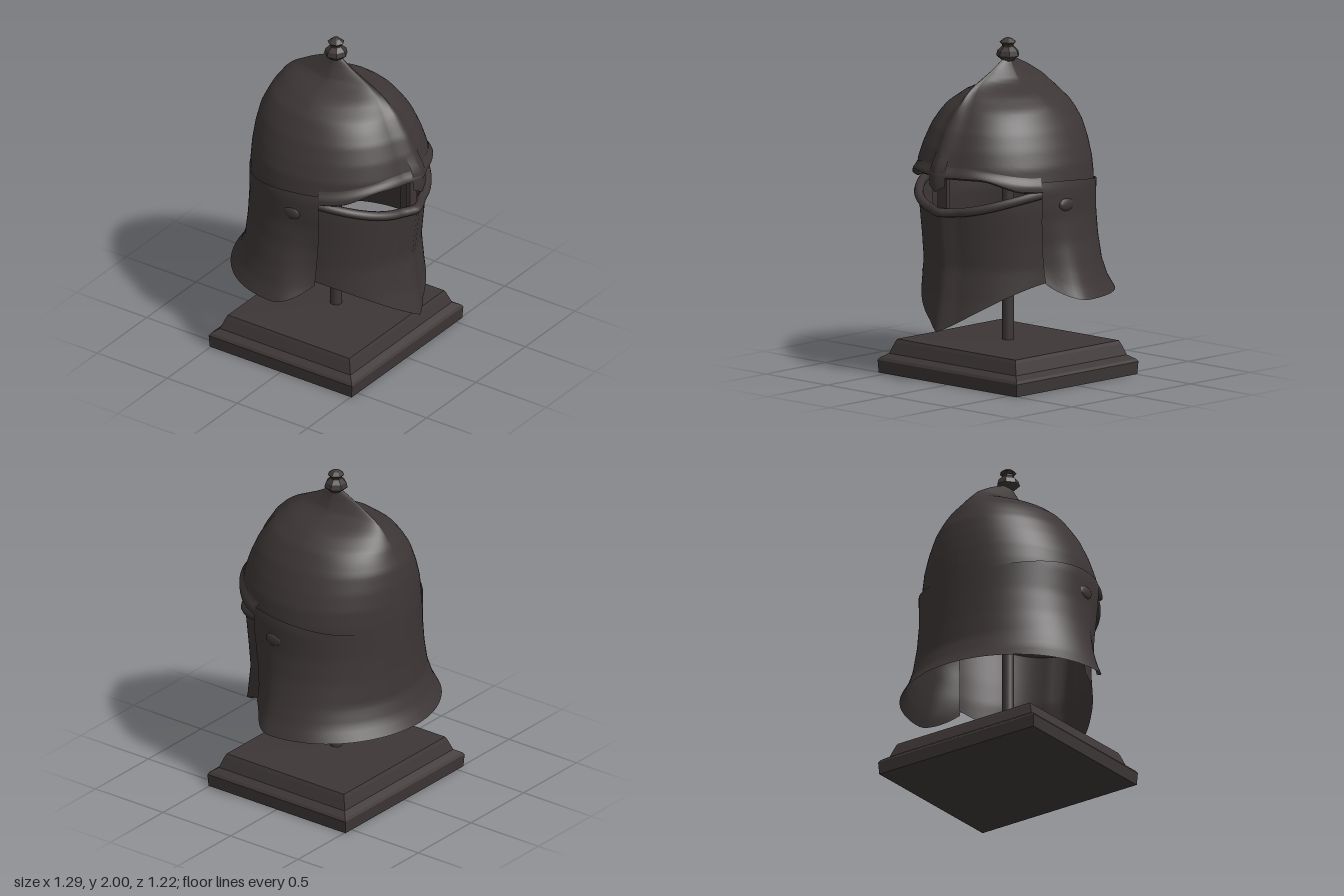
import * as THREE from 'three';

const iron = new THREE.MeshStandardMaterial({ color: 0x3d3636, side: THREE.DoubleSide });
iron.name = 'darkIron';

// Shell profiles: [height, half width, front depth, back depth]
const SKULL = [
  [1.88, 0.02, 0.03, 0.04], [1.82, 0.045, 0.12, 0.17], [1.75, 0.09, 0.255, 0.29],
  [1.725, 0.15, 0.29, 0.32], [1.69, 0.24, 0.335, 0.355], [1.62, 0.33, 0.405, 0.405],
  [1.5, 0.41, 0.485, 0.46], [1.4, 0.455, 0.53, 0.48], [1.3, 0.49, 0.56, 0.49],
  [1.2, 0.505, 0.57, 0.495], [1.05, 0.51, 0.55, 0.495],
];
const GUARD = [
  [1.3, 0.5, 0.565, 0.495], [1.18, 0.525, 0.575, 0.5], [1.0, 0.522, 0.57, 0.5],
  [0.85, 0.54, 0.57, 0.503], [0.7, 0.575, 0.57, 0.512], [0.6, 0.605, 0.58, 0.55],
  [0.52, 0.64, 0.59, 0.605],
];
const VISOR = [
  [1.2, 0.495, 0.55, 0.5], [1.05, 0.49, 0.55, 0.5], [0.85, 0.475, 0.53, 0.5],
  [0.7, 0.47, 0.515, 0.5], [0.5, 0.475, 0.54, 0.5], [0.32, 0.5, 0.575, 0.5],
];

// Point on a shell at angle t (0 = front) and height y, with a front keel
function shellPoint(rows, t, y, out = 0) {
  let i = 0;
  while (i < rows.length - 2 && y < rows[i + 1][0]) i++;
  const k = THREE.MathUtils.clamp((rows[i][0] - y) / (rows[i][0] - rows[i + 1][0]), 0, 1);
  const [w, f, b] = [1, 2, 3].map(c => THREE.MathUtils.lerp(rows[i][c], rows[i + 1][c], k));
  // cross-section sharpens into a crest near the crown
  const e = 2 / (2 - 0.7 * THREE.MathUtils.smoothstep(y, 1.55, 1.78));
  const s = Math.sin(t), c = Math.cos(t);
  const keel = 0.03 * Math.max(0, 1 - Math.abs(t) / 0.2) * Math.min(1, f / 0.3);
  return new THREE.Vector3(
    (w + out) * Math.sign(s) * Math.abs(s) ** e, y,
    ((c > 0 ? f : b) + out) * Math.sign(c) * Math.abs(c) ** e + keel);
}

// Sheet on a shell between two angles and two edge curves, offset by out(t, y)
function patch(rows, t0, t1, top, bottom, out, nu, nv) {
  const pos = [], idx = [];
  for (let j = 0; j <= nv; j++) for (let i = 0; i <= nu; i++) {
    const t = t0 + (t1 - t0) * i / nu;
    const y = THREE.MathUtils.lerp(bottom(t), top(t), j / nv);
    pos.push(...shellPoint(rows, t, y, out(t, y)).toArray());
    if (i < nu && j < nv) {
      const a = j * (nu + 1) + i, d = a + nu + 1;
      idx.push(a, a + 1, d, a + 1, d + 1, d);
    }
  }
  const g = new THREE.BufferGeometry();
  g.setAttribute('position', new THREE.Float32BufferAttribute(pos, 3));
  g.setIndex(idx);
  g.computeVertexNormals();
  return g;
}

// Rounded rim following a shell edge
function rim(rows, span, edge, radius) {
  const pts = [];
  for (let i = 0; i <= 24; i++) {
    const t = span * (i / 12 - 1);
    pts.push(shellPoint(rows, t, edge(t)));
  }
  return new THREE.TubeGeometry(new THREE.CatmullRomCurve3(pts), 48, radius, 8);
}

// Faceted turned shape
function turned(points, sides, start = 0) {
  const g = new THREE.LatheGeometry(points.map(p => new THREE.Vector2(...p)), sides, start).toNonIndexed();
  g.computeVertexNormals();
  return g;
}

export function createModel() {
  const model = new THREE.Group();
  model.name = 'helmetOnStand';
  const add = (name, geometry, x = 0, y = 0, z = 0) => {
    const m = new THREE.Mesh(geometry, iron);
    m.name = name;
    m.position.set(x, y, z);
    model.add(m);
    return m;
  };
  const step = THREE.MathUtils.smoothstep;
  const flush = () => 0;

  // Stand: stepped rectangular plinth and pole
  const plinth = [[0, 0], [0.56, 0], [0.565, 0.075], [0.555, 0.09], [0.515, 0.115],
    [0.49, 0.18], [0.48, 0.2], [0, 0.205]].map(([r, y]) => [r * Math.SQRT2, y]);
  add('plinth', turned(plinth, 4, Math.PI / 4)).scale.z = 0.905;
  add('pole', new THREE.CylinderGeometry(0.036, 0.036, 1.6, 12), 0, 1.0, 0);

  // Skull with crest, open over the eyes
  const brow = t => {
    const a = Math.abs(t);
    return 1.25 - 0.075 * step(a, 0.5, 1.05) - 0.045 * step(a, 1.05, 1.8);
  };
  add('skull', patch(SKULL, -Math.PI, Math.PI, () => 1.88, brow, flush, 96, 40));

  // Brow band swelling towards the eye opening
  const browTop = t => 1.31 - 0.06 * step(Math.abs(t), 0.3, 1.2);
  add('browBand', patch(SKULL, -1.2, 1.2, browTop, brow,
    (t, y) => 0.003 + 0.02 * step(browTop(t) - y, 0, 0.05), 48, 6));
  add('browRim', rim(SKULL, 1.2, t => brow(t) + 0.008, 0.02));

  // Nose guard and the bar behind it
  add('noseGuard', patch(SKULL, -0.12, 0.12, () => 1.4, t => 1.16 + Math.abs(t) * 0.3,
    (t, y) => 0.002 + 0.018 * step(1.4 - y, 0, 0.12), 8, 8));
  add('faceBar', new THREE.BoxGeometry(0.07, 0.22, 0.03), 0, 1.12, 0.54);

  // Neck and cheek guard: flares at the sides and back, closes on the face plate at its front edges
  const fromBack = t => Math.abs(t - Math.PI);
  const guardTop = t => 1.135 + 0.09 * step(fromBack(t), 0, 1.9);
  const guardBottom = t => 0.52 + 0.1 * Math.max(0, (0.58 * Math.cos(t) + 0.02) / 0.24) ** 2;
  const guardOut = (t, y) => -0.005 + 0.013 * step(fromBack(t), 0.4, 1.2)
    - 0.07 * step(fromBack(t), 1.6, 1.96) * step(1.1 - y, 0, 0.5);
  add('neckGuard', patch(GUARD, 1.18, Math.PI * 2 - 1.18, guardTop, guardBottom, guardOut, 72, 24));

  // Face plate with pointed chin
  const visorTop = t => 1.035 + 0.13 * Math.sin(t) ** 2;
  const visorBottom = t => 0.325 + 0.305 * Math.abs(Math.sin(t)) ** 1.1;
  add('facePlate', patch(VISOR, -1.3, 1.3, visorTop, visorBottom, flush, 52, 20));
  add('facePlateRim', rim(VISOR, 1.25, visorTop, 0.028));

  // Temple hinges
  for (const s of [-1, 1]) {
    const hinge = add(s > 0 ? 'leftHinge' : 'rightHinge',
      new THREE.SphereGeometry(0.05, 12, 8), s * 0.522, 1.08, 0.05);
    hinge.scale.set(0.4, 0.8, 1.2);
  }

  // Faceted knob on the crown
  add('finial', turned([[0, 1.85], [0.035, 1.86], [0.07, 1.89], [0.062, 1.92], [0.035, 1.945],
    [0.035, 1.955], [0.05, 1.97], [0.025, 1.99], [0, 2]], 7));

  return model;
}
